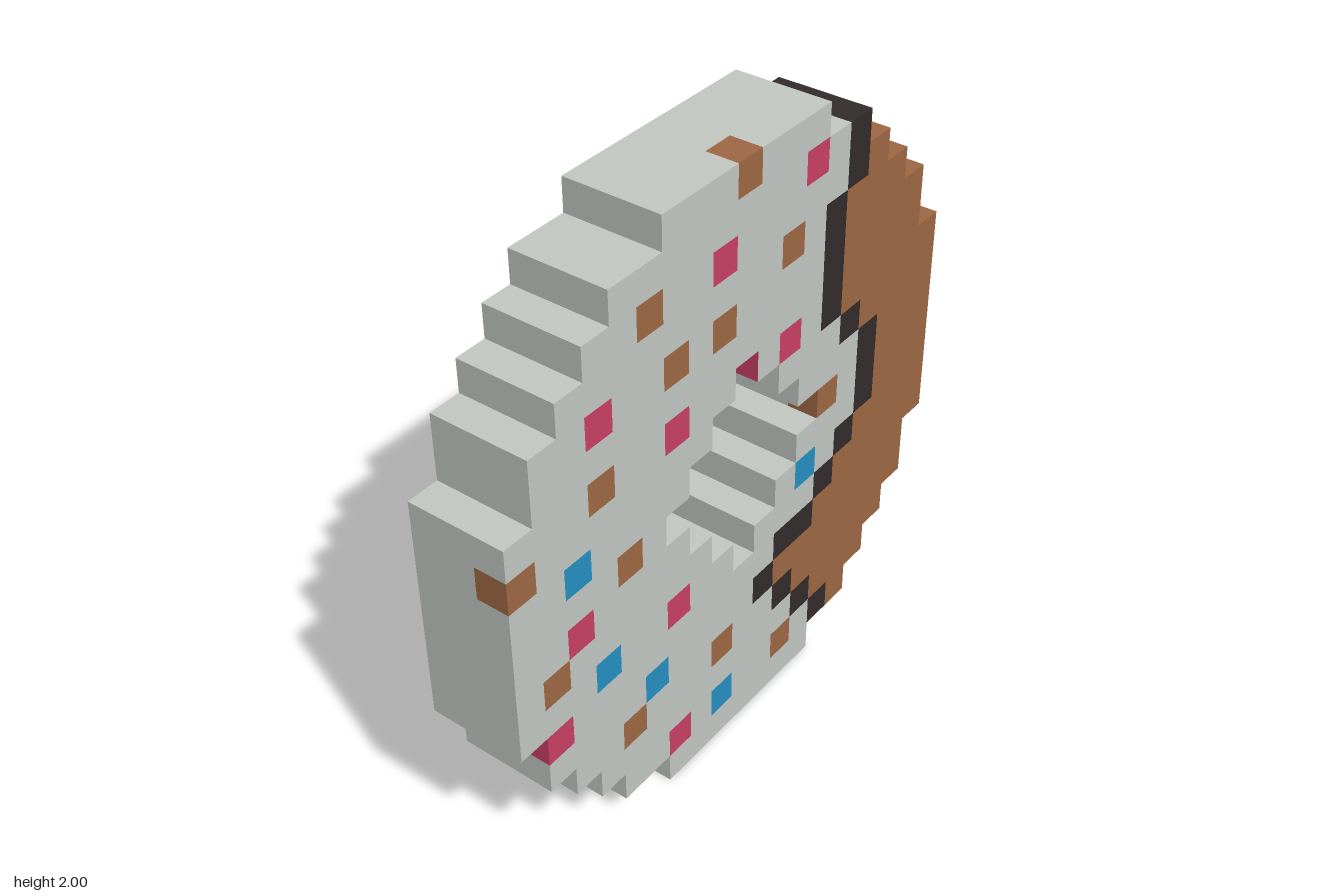
import * as THREE from 'three';
import { mergeGeometries } from 'three/addons/utils/BufferGeometryUtils.js';

const N = 19, LAYERS = 3, S = 2 / N; // blocks across, blocks thick, block size

const mats = {};
for (const [name, color] of Object.entries({
  paleGrey: 0xc4c9c4, brown: 0xa06945, nearBlack: 0x342c2d, pink: 0xca4065, blue: 0x2490c2,
})) mats[name] = new THREE.MeshStandardMaterial({ name, color });

// First column of the outer rim and of the hole, per row from the top (mirrored)
const RIM = [6, 4, 3, 2, 1, 1, 0, 0, 0, 0];
const HOLE = { 6: 9, 7: 8, 8: 7, 9: 6 };

// Columns of the dark seam on the decorated face: row -> [first, last]
const SEAM = {
  1: [14, 14], 2: [14, 14], 3: [13, 13], 4: [13, 13], 5: [13, 13], 6: [13, 13],
  7: [14, 14], 8: [15, 15], 9: [15, 15], 10: [15, 15], 11: [14, 14], 12: [13, 13],
  13: [11, 12], 14: [10, 10], 15: [11, 11], 16: [12, 12], 17: [13, 13],
};

// Sprinkles on the decorated face as [column, row]
const SPRINKLES = {
  brownSprinkles: [[9, 0], [5, 2], [11, 3], [6, 4], [8, 4], [3, 6], [0, 7], [4, 9], [13, 9],
    [1, 11], [4, 15], [8, 15], [11, 17]],
  pinkSprinkles: [[12, 1], [8, 2], [3, 4], [6, 6], [11, 6], [2, 10], [1, 13], [6, 12], [6, 17]],
  blueSprinkles: [[2, 8], [3, 12], [5, 14], [12, 11], [8, 17]],
};
const sprinkleAt = {};
for (const [part, list] of Object.entries(SPRINKLES)) {
  for (const [c, r] of list) sprinkleAt[c + ',' + r] = part;
}

const PARTS = {
  ringBody: mats.paleGrey, bareDough: mats.brown, darkSeam: mats.nearBlack,
  brownSprinkles: mats.brown, pinkSprinkles: mats.pink, blueSprinkles: mats.blue,
};

// Is there a block at this layer, column and row?
function solid(l, c, r) {
  if (l < 0 || l >= LAYERS || c < 0 || c >= N || r < 0 || r >= N) return false;
  const half = Math.min(r, N - 1 - r), side = Math.min(c, N - 1 - c);
  return side >= RIM[half] && !(half in HOLE && side >= HOLE[half]);
}

// Which part a block belongs to
function partAt(l, c, r) {
  if (l === LAYERS - 1) {
    const sprinkle = sprinkleAt[c + ',' + r];
    if (sprinkle) return sprinkle;
    const seam = SEAM[r];
    if (!seam || c < seam[0]) return 'ringBody';
    return c <= seam[1] ? 'darkSeam' : 'bareDough';
  }
  // plain layers behind: straight seam
  if ((r === 1 && c === 14) || (c === 13 && r >= 13)) return 'darkSeam';
  return c >= 14 ? 'bareDough' : 'ringBody';
}

// Block face directions: step in layer/column/row and the turn of a +z plane
const H = Math.PI / 2;
const FACES = [
  { step: [1, 0, 0], rot: [0, H] }, { step: [-1, 0, 0], rot: [0, -H] },
  { step: [0, -1, 0], rot: [0, 0] }, { step: [0, 1, 0], rot: [0, Math.PI] },
  { step: [0, 0, -1], rot: [-H, 0] }, { step: [0, 0, 1], rot: [H, 0] },
];

export function createModel() {
  const group = new THREE.Group();
  group.name = 'blockRing';
  const geos = {};
  for (const part in PARTS) geos[part] = [];

  // Lay a square on every exposed block face
  for (let l = 0; l < LAYERS; l++) for (let c = 0; c < N; c++) for (let r = 0; r < N; r++) {
    if (!solid(l, c, r)) continue;
    for (const { step: [dl, dc, dr], rot } of FACES) {
      if (solid(l + dl, c + dc, r + dr)) continue;
      const g = new THREE.PlaneGeometry(S, S).translate(0, 0, S / 2);
      g.rotateX(rot[0]).rotateY(rot[1]);
      g.translate((l - 1) * S, 2 - (r + 0.5) * S, 1 - (c + 0.5) * S);
      // one sprinkle sits on the inner wall of the hole
      const inner = l === 2 && c === 10 && r === 6 && dc === -1;
      geos[inner ? 'pinkSprinkles' : partAt(l, c, r)].push(g);
    }
  }

  for (const part in PARTS) {
    const mesh = new THREE.Mesh(mergeGeometries(geos[part]), PARTS[part]);
    mesh.name = part;
    group.add(mesh);
  }
  return group;
}
